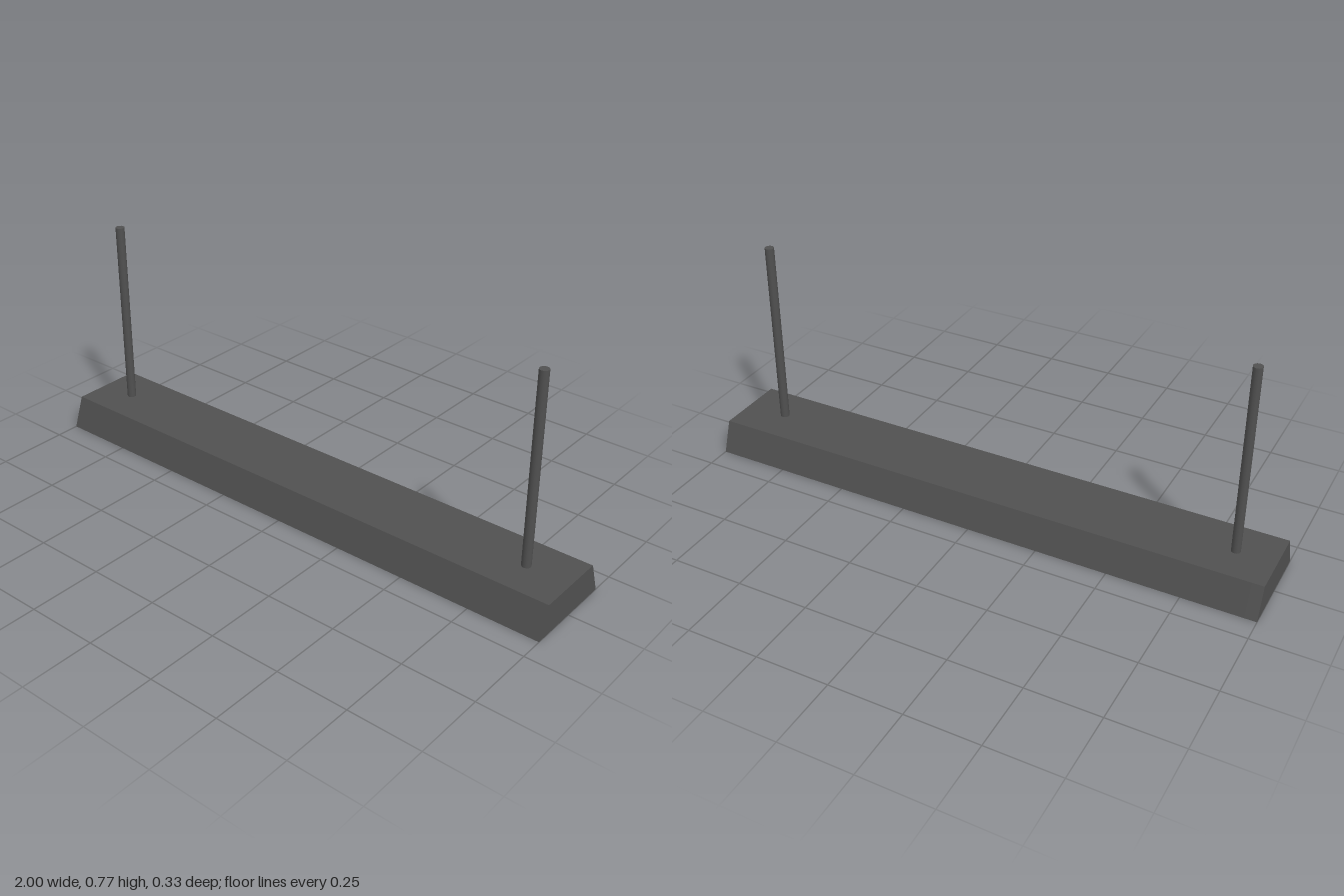
import * as THREE from 'three';

const mat = (name, color) => {
  const m = new THREE.MeshStandardMaterial({ color });
  m.name = name;
  return m;
};

export function createModel() {
  const group = new THREE.Group();
  const metal = mat('dark metal', 0x505050);
  const lining = mat('brown lining', 0x553c3c);
  const pale = mat('pale tube', 0xd2d1c4);
  const reflector = mat('grey reflector', 0xa3a298);
  const slot = mat('dark slot', 0x2c2c2a);

  const add = (name, geometry, material, x = 0, y = 0, z = 0) => {
    const mesh = new THREE.Mesh(geometry, material);
    mesh.name = name;
    mesh.position.set(x, y, z);
    group.add(mesh);
    return mesh;
  };

  // Housing: sections in (z, y), extruded along x
  const H = 0.11, BOTTOM = 0.167, TOP = 0.128, INNER = 0.115, CEILING = 0.08, END = 0.04;
  const section = (name, points, length, x) => {
    const shape = new THREE.Shape(points.map(p => new THREE.Vector2(...p)));
    const geometry = new THREE.ExtrudeGeometry(shape, { depth: length, bevelEnabled: false });
    geometry.translate(0, 0, -length / 2).rotateY(Math.PI / 2);
    add(name, geometry, metal, x);
  };
  section('housing', [
    [-BOTTOM, 0], [-INNER, 0], [-INNER, CEILING], [INNER, CEILING],
    [INNER, 0], [BOTTOM, 0], [TOP, H], [-TOP, H],
  ], 2 - 2 * END, 0);
  for (const side of [-1, 1]) {
    section('housingEnd', [[-BOTTOM, 0], [BOTTOM, 0], [TOP, H], [-TOP, H]], END, side * (1 - END / 2));
  }

  // Inside of the trough: reflector ceiling, wall linings and dark slots
  add('reflector', new THREE.BoxGeometry(1.92, 0.006, 0.228), reflector, 0, CEILING - 0.003, 0);
  for (const side of [-1, 1]) {
    add('wallLining', new THREE.BoxGeometry(1.92, 0.068, 0.004), lining, 0, 0.04, side * (INNER - 0.002));
  }
  for (const z of [-0.09, 0, 0.09]) {
    add('slot', new THREE.BoxGeometry(1.88, 0.004, 0.016), slot, 0, CEILING - 0.007, z);
  }

  // Two lamp tubes with their sockets
  for (const z of [-0.048, 0.048]) {
    add('lampTube', new THREE.CylinderGeometry(0.02, 0.02, 1.8, 16), pale, 0, 0.048, z).rotation.z = Math.PI / 2;
    for (const side of [-1, 1]) {
      add('lampSocket', new THREE.BoxGeometry(0.03, 0.05, 0.05), reflector, side * 0.912, 0.05, z);
    }
  }

  // Hanging rods
  for (const x of [-0.865, 0.845]) {
    add('hangingRod', new THREE.CylinderGeometry(0.016, 0.016, 0.675, 12), metal, x, 0.4375, 0);
  }
  return group;
}
